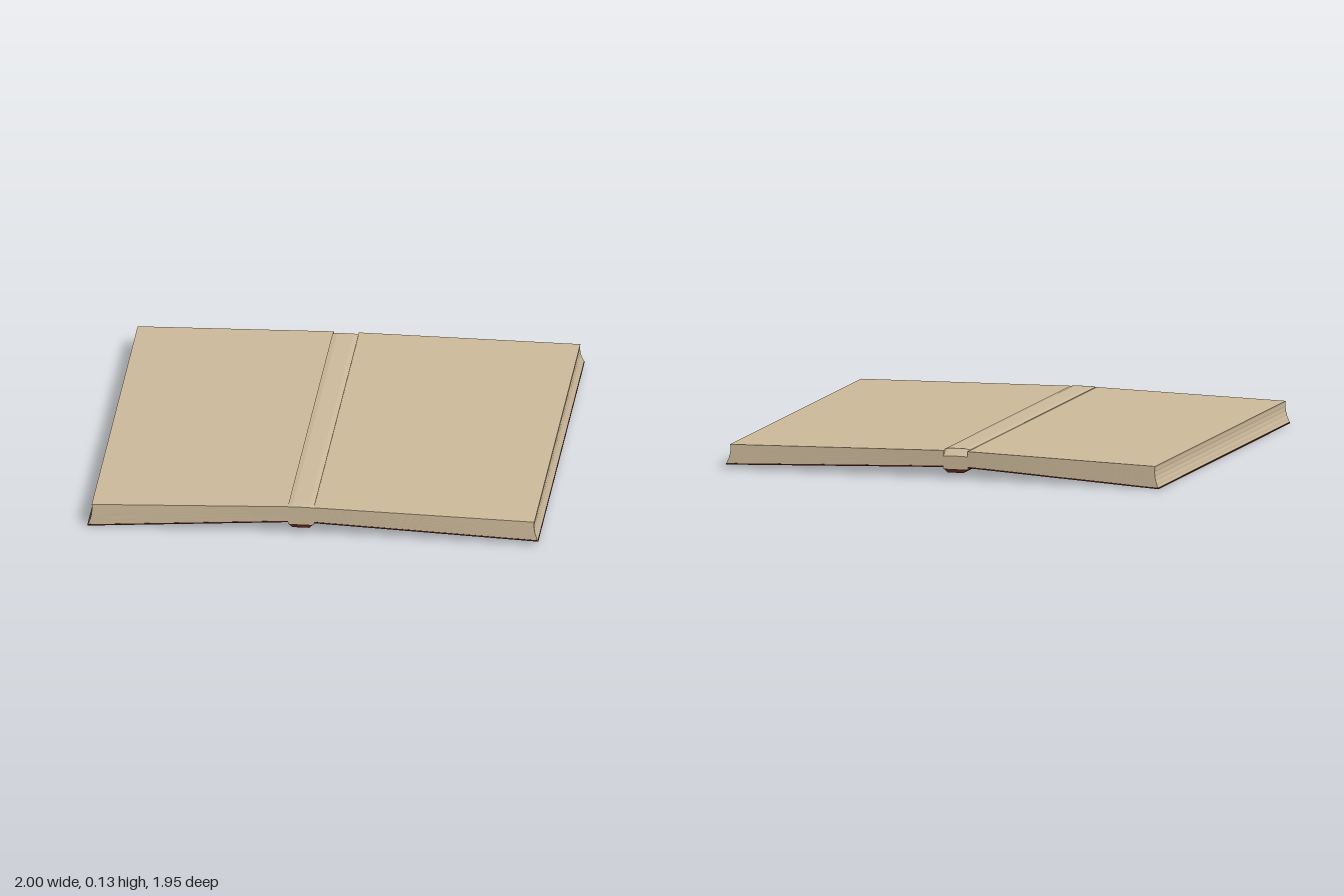
import * as THREE from 'three';

const paper = new THREE.MeshStandardMaterial({ color: 0xcdba9b });
paper.name = 'paper';
const leather = new THREE.MeshStandardMaterial({ color: 0x50221a });
leather.name = 'dark cover';

// Closed solid lofted through rings of corners, from the first ring to the last.
// Corners run counter-clockwise as seen from the last ring's end.
function loft(rings, material, name) {
  const pos = [];
  const count = rings[0].length;
  for (let i = 0; i < rings.length - 1; i++) {
    const lo = rings[i], hi = rings[i + 1];
    for (let k = 0; k < count; k++) {
      const n = (k + 1) % count;
      pos.push(...lo[k], ...lo[n], ...hi[n], ...lo[k], ...hi[n], ...hi[k]);
    }
  }
  const first = rings[0], last = rings[rings.length - 1];
  for (let k = 1; k < count - 1; k++) {
    pos.push(...first[0], ...first[k + 1], ...first[k]);
    pos.push(...last[0], ...last[k], ...last[k + 1]);
  }
  const geo = new THREE.BufferGeometry();
  geo.setAttribute('position', new THREE.Float32BufferAttribute(pos, 3));
  geo.computeVertexNormals();
  const mesh = new THREE.Mesh(geo, material);
  mesh.name = name;
  return mesh;
}

// Level ring that may slope and taper between its left edge x0 and right edge x1
const ring = (x0, y0, z0, x1, y1, z1) =>
  [[x0, y0, z0], [x1, y1, z1], [x1, y1, -z1], [x0, y0, -z0]];

// Ring for one half of the book; side is -1 or +1
const halfRing = (side, inner, yIn, zIn, outer, yOut, zOut) => side < 0
  ? ring(outer, yOut, zOut, inner, yIn, zIn)
  : ring(inner, yIn, zIn, outer, yOut, zOut);

// Upright cross-section of the centre fold at depth z
const foldSection = (z, shoulder, top) => [
  [-0.113, 0.042, z], [0.003, 0.042, z], [0.003, shoulder, z],
  [-0.018, top, z], [-0.092, top, z], [-0.113, shoulder, z],
];

export function createModel() {
  const book = new THREE.Group();
  book.name = 'openBook';

  const halves = [
    { side: -1, name: 'leftPage', inner: -0.11, low: 0.0, high: 0.1 },
    { side: 1, name: 'rightPage', inner: 0, low: 0.016, high: 0.106 },
  ];
  const steps = 10;
  for (const { side, name, inner, low, high } of halves) {
    // Page block: fore-edge hollowed, with fine grooves between leaves
    const rings = [];
    for (let i = 0; i <= steps; i++) {
      const t = i / steps;
      const groove = i % 2 ? 0.001 : 0;
      const hollow = 0.007 * Math.sin(Math.PI * t);
      const outer = side * (0.998 - 0.016 * t - hollow - groove);
      const y = THREE.MathUtils.lerp(low + 0.006, high, t);
      rings.push(halfRing(side, inner, 0.055 + 0.068 * t, 0.952,
        outer, y, 0.973 - 0.006 * t));
    }
    book.add(loft(rings, paper, name + 'Block'));

    // Cover board under the pages
    book.add(loft([
      halfRing(side, inner, 0.049, 0.953, side, low, 0.974),
      halfRing(side, inner, 0.055, 0.953, side, low + 0.006, 0.974),
    ], leather, name + 'Cover'));
  }

  // Centre fold, rounded along its top, with a steep back bevel and a soft front one
  book.add(loft([
    foldSection(-0.953, 0.098, 0.1),
    foldSection(-0.922, 0.126, 0.13),
    foldSection(0.925, 0.126, 0.13),
    foldSection(0.956, 0.122, 0.125),
  ], paper, 'centreFold'));

  // Spine of the cover, tapering downward
  book.add(loft([
    ring(-0.092, 0.026, 0.953, -0.018, 0.026, 0.953),
    ring(-0.113, 0.042, 0.953, 0.0, 0.042, 0.953),
  ], leather, 'spine'));

  return book;
}
